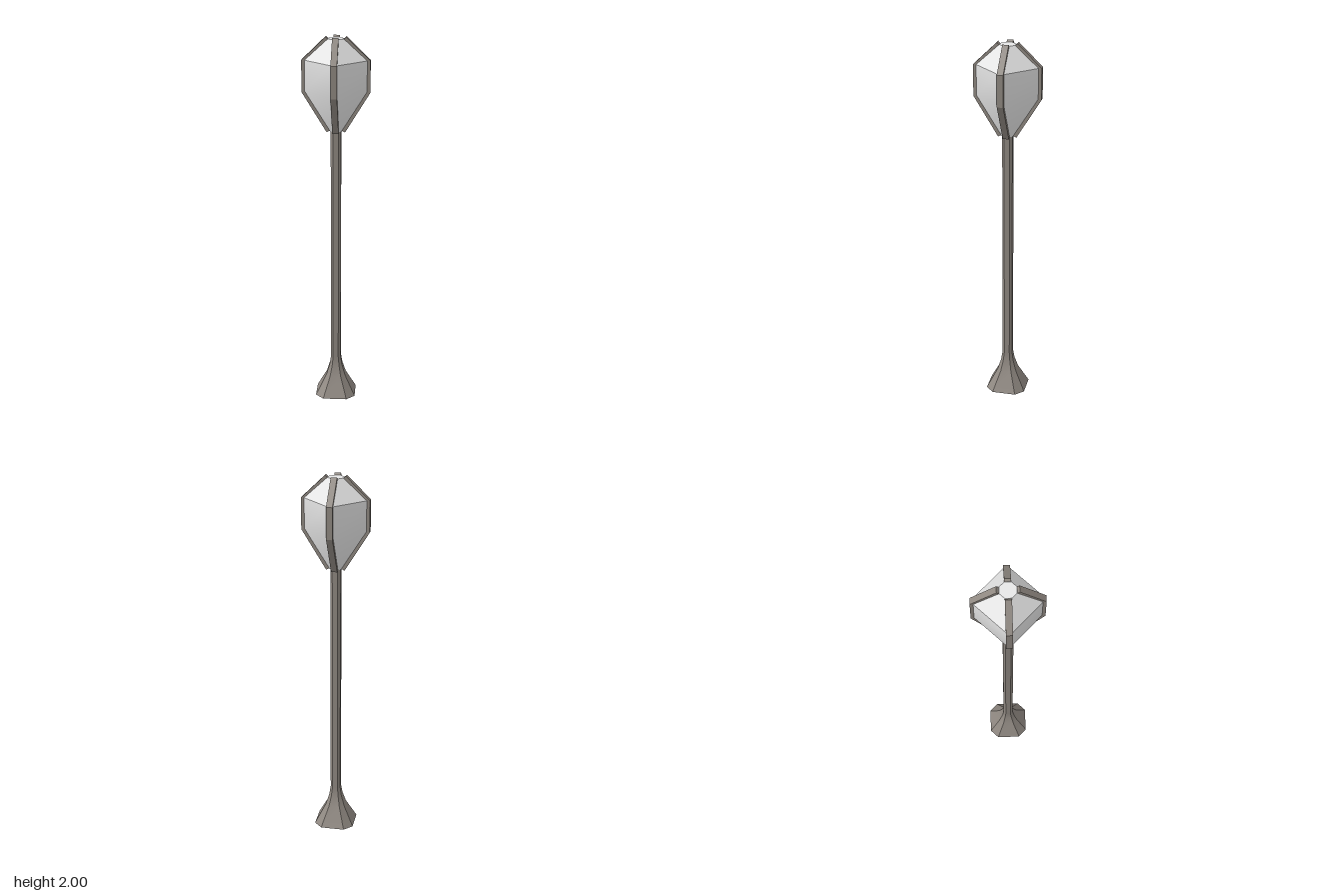
import * as THREE from 'three';

// Eight-cornered ring: a = half width, b = half length of each flat side
function ring([a, b, y]) {
  return [[-b, a], [b, a], [a, b], [a, -b], [b, -a], [-b, -a], [-a, -b], [-a, b]]
    .map(([x, z]) => [x, y, z]);
}

// Stack of rings: smooth up each side, creased between sides
function loft(profile) {
  const rings = profile.map(ring);
  const pos = [], idx = [];
  for (let s = 0; s < 8; s++) {
    const start = pos.length / 3;
    rings.forEach((r, k) => {
      pos.push(...r[s], ...r[(s + 1) % 8]);
      if (k === 0) return;
      const p = start + (k - 1) * 2;
      idx.push(p, p + 1, p + 3, p, p + 3, p + 2);
    });
  }
  return finish(pos, idx);
}

// Flat eight-cornered lid facing up or down
function lid(section, up) {
  const pos = ring(section).flat(), idx = [];
  for (let i = 1; i < 7; i++) idx.push(0, ...(up ? [i, i + 1] : [i + 1, i]));
  return finish(pos, idx);
}

function finish(pos, idx) {
  const g = new THREE.BufferGeometry();
  g.setAttribute('position', new THREE.Float32BufferAttribute(pos, 3));
  g.setIndex(idx);
  g.computeVertexNormals();
  return g;
}

export function createModel() {
  const metal = new THREE.MeshStandardMaterial({ color: 0x8f8881 });
  metal.name = 'warm grey metal';
  const glass = new THREE.MeshStandardMaterial({ color: 0xe6e6e6 });
  glass.name = 'frosted glass';

  const model = new THREE.Group();
  model.name = 'streetLamp';
  const add = (name, geometry, material) => {
    const mesh = new THREE.Mesh(geometry, material);
    mesh.name = name;
    model.add(mesh);
    return mesh;
  };

  // Post with flared foot
  const foot = [0.122, 0.031, 0], postTop = [0.029, 0.009, 1.515];
  add('post', loft([
    foot, [0.058, 0.016, 0.11], [0.038, 0.011, 0.17], [0.029, 0.009, 0.22], postTop,
  ]), metal);
  add('footUnderside', lid(foot, false), metal);
  add('postTop', lid(postTop, true), metal);

  // Glass lantern: tapered body, sloping roof and flat top
  const bottom = [0.032, 0.018, 1.51], eave = [0.125, 0.105, 1.88], top = [0.04, 0.017, 1.99];
  add('lanternBody', loft([bottom, [0.125, 0.105, 1.72], eave]), glass);
  add('lanternRoof', loft([eave, top]), glass);
  add('lanternTop', lid(top, true), glass);
  add('lanternUnderside', lid(bottom, false), glass);

  // Four bent ribs on the corners
  const width = 0.0325;
  const outline = new THREE.Shape([
    [0.048, 1.505], [0.177, 1.715], [0.177, 1.88], [0.053, 2.0],
    [0.039, 1.986], [0.152, 1.872], [0.152, 1.722], [0.028, 1.517],
  ].map(([r, y]) => new THREE.Vector2(r, y)));
  const ribGeometry = new THREE.ExtrudeGeometry(outline, { depth: width, bevelEnabled: false });
  ribGeometry.translate(0, 0, -width / 2);
  for (let i = 0; i < 4; i++) {
    add('cornerRib' + (i + 1), ribGeometry, metal).rotation.y = Math.PI / 4 + i * Math.PI / 2;
  }
  return model;
}
